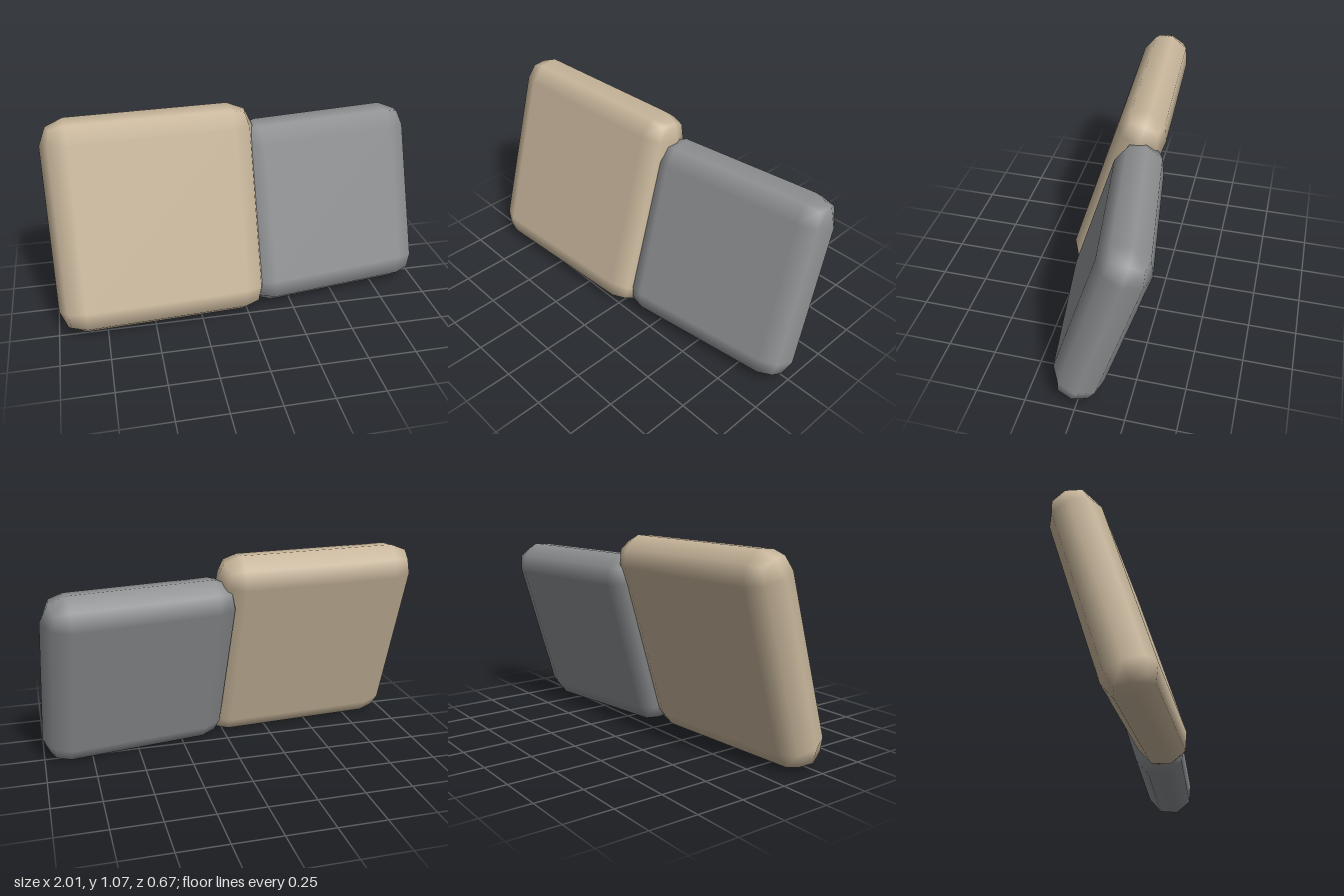
import * as THREE from 'three';
import { RoundedBoxGeometry } from 'three/addons/geometries/RoundedBoxGeometry.js';

const THICKNESS = 0.26;
const ROUNDING = 0.13;
const LEAN = -0.3; // both cushions lean back by the same angle

function makeMaterial(name, hex) {
  const material = new THREE.MeshStandardMaterial({ color: hex });
  material.name = name;
  return material;
}

// Soft square cushion with a coarse, smooth-shaded rounded rim
function makeCushion(name, material, width, height, position, turn) {
  const geometry = new RoundedBoxGeometry(width, height, THICKNESS, 1, ROUNDING);
  const cushion = new THREE.Mesh(geometry, material);
  cushion.name = name;
  cushion.position.set(...position);
  cushion.rotation.set(LEAN, turn, 0, 'YXZ');
  return cushion;
}

export function createModel() {
  const group = new THREE.Group();
  group.name = 'cushionPair';
  const beige = makeMaterial('beige fabric', 0xc9b79c);
  const gray = makeMaterial('gray fabric', 0x8e9092);

  // Larger cushion in front, smaller one tucked behind its edge
  group.add(
    makeCushion('largeCushion', beige, 1.095, 1.115, [-0.45, 0.536, 0.06], 0.054),
    makeCushion('smallCushion', gray, 1.0, 1.003, [0.493, 0.481, -0.05], 0.138),
  );
  return group;
}
